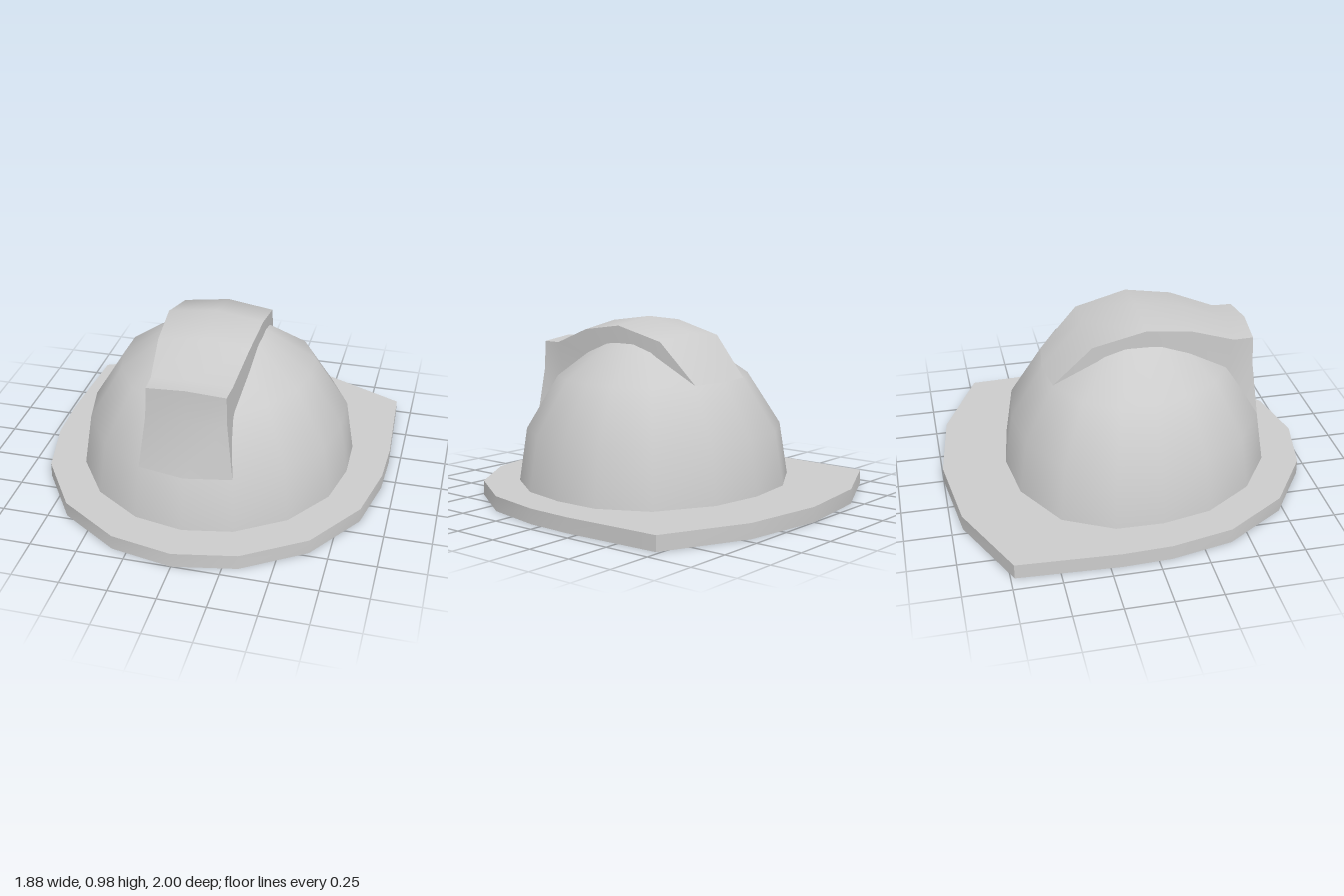
import * as THREE from 'three';
import { toCreasedNormals } from 'three/addons/utils/BufferGeometryUtils.js';

const V = (x, y, z) => new THREE.Vector3(x, y, z);
const material = new THREE.MeshStandardMaterial({ color: 0xcccccc });

// Half outlines [x, z] from the front, round the left side, to the back
const shellHalf = [[0, 0.80], [0.26, 0.75], [0.51, 0.585], [0.68, 0.33], [0.735, 0.07],
  [0.73, -0.18], [0.595, -0.44], [0.30, -0.61], [0, -0.65]];
const brimHalf = [[0, 1], [0.33, 0.935], [0.65, 0.725], [0.86, 0.40], [0.93, 0.07],
  [0.94, -0.19], [0.915, -0.73], [0.46, -0.94], [0, -1]];
const CENTRE_Z = 0.075;

// Mirrors a half outline into a closed ring at height y, scaled about the dome axis
function ring(half, y, s = 1) {
  const mirrored = half.slice(1, -1).reverse().map(([x, z]) => [-x, z]);
  return [...half, ...mirrored].map(([x, z]) => V(x * s, y, CENTRE_Z + (z - CENTRE_Z) * s));
}

// Skins a list of equal-length sections, skipping collapsed triangles
function loft(name, sections, closed, crease = 0.8) {
  const pos = [];
  const tri = (a, b, c) => {
    if (new THREE.Triangle(a, b, c).getArea() > 1e-7) {
      for (const p of [a, b, c]) pos.push(p.x, p.y, p.z);
    }
  };
  const n = sections[0].length;
  for (let k = 0; k < sections.length - 1; k++) {
    for (let i = 0; i < (closed ? n : n - 1); i++) {
      const j = (i + 1) % n;
      const [lo, hi] = [sections[k], sections[k + 1]];
      tri(lo[i], lo[j], hi[j]);
      tri(lo[i], hi[j], hi[i]);
    }
  }
  const geometry = new THREE.BufferGeometry();
  geometry.setAttribute('position', new THREE.Float32BufferAttribute(pos, 3));
  const mesh = new THREE.Mesh(toCreasedNormals(geometry, crease), material);
  mesh.name = name;
  return mesh;
}

export function createModel() {
  const group = new THREE.Group();
  group.name = 'helmet';

  // Dome: [height, scale] levels from rim to crown
  const outer = [[0.08, 1], [0.37, 0.94], [0.66, 0.70], [0.85, 0.35], [0.90, 0]];
  group.add(loft('shell', outer.map(([y, s]) => ring(shellHalf, y, s)), true));

  // Hollow inside, crown to rim so that it faces inward
  const inner = [[0.84, 0], [0.79, 0.33], [0.61, 0.65], [0.34, 0.88], [0, 0.93]];
  group.add(loft('lining', inner.map(([y, s]) => ring(shellHalf, y, s)), true));

  // Flat brim, wider and squarer at the back
  group.add(loft('brim', [
    ring(shellHalf, 0, 0.93), ring(brimHalf, 0), ring(brimHalf, 0.08), ring(shellHalf, 0.08, 0.98),
  ], true));

  // Raised ridge, front to back: centre [y, z], edge [x, y, z], sunken foot [x, y, z]
  const ridge = [
    [[0.37, 0.757], [0.245, 0.37, 0.71], [0.245, 0.37, 0.71]],
    [[0.66, 0.695], [0.21, 0.66, 0.68], [0.22, 0.50, 0.60]],
    [[0.84, 0.69], [0.205, 0.82, 0.675], [0.21, 0.61, 0.53]],
    [[0.84, 0.59], [0.21, 0.82, 0.57], [0.21, 0.61, 0.53]],
    [[0.945, 0.335], [0.24, 0.91, 0.33], [0.24, 0.76, 0.31]],
    [[0.98, 0.08], [0.255, 0.945, 0.08], [0.25, 0.81, 0.08]],
    [[0.905, -0.21], [0.245, 0.875, -0.20], [0.245, 0.76, -0.16]],
    [[0.66, -0.433], [0.21, 0.66, -0.405], [0.21, 0.66, -0.405]],
  ];
  group.add(loft('ridge', ridge.map(([[cy, cz], [x, y, z], [fx, fy, fz]]) => [
    V(-fx, fy, fz), V(-x, y, z), V(0, cy, cz), V(x, y, z), V(fx, fy, fz),
  ]), false));

  return group;
}
